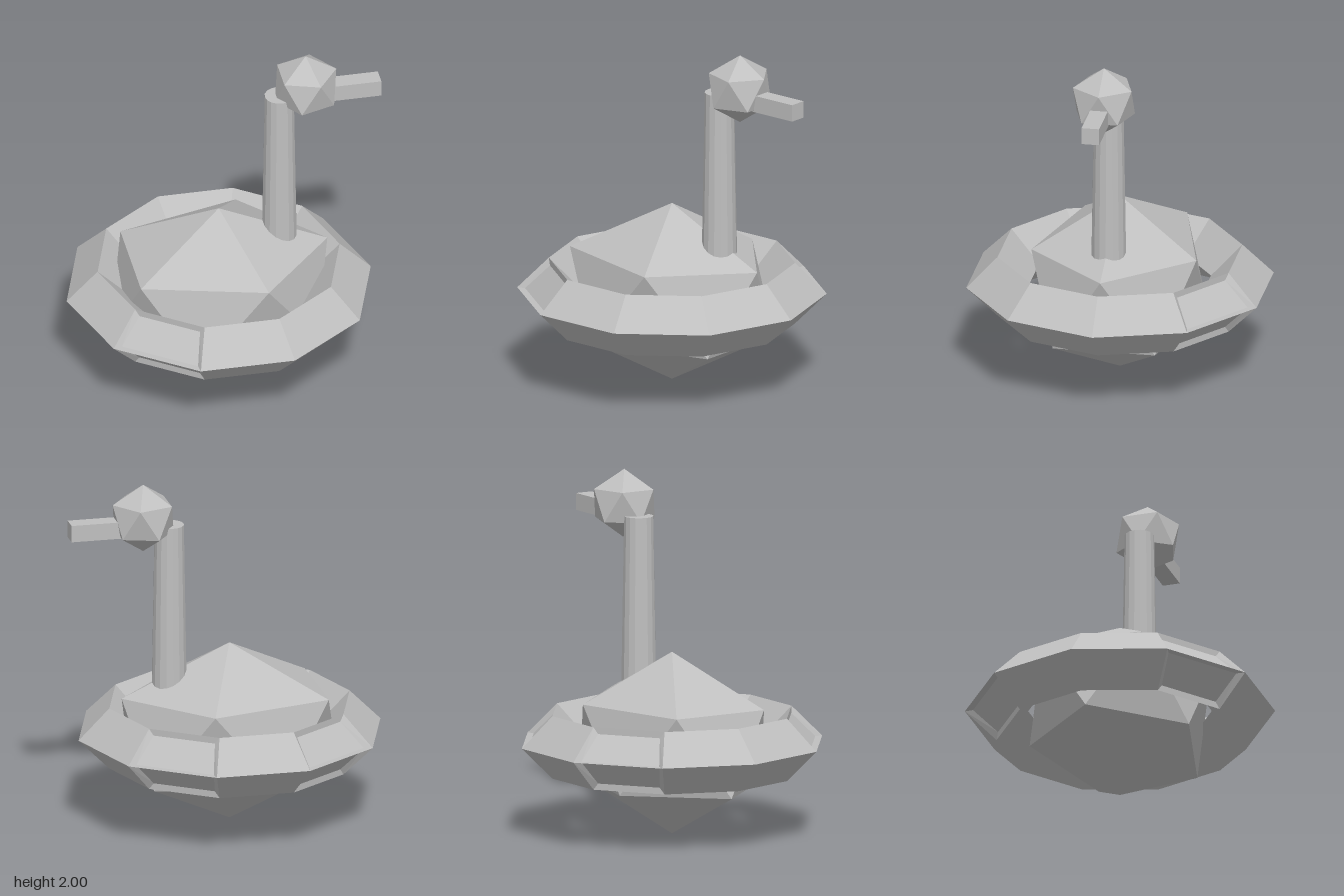
import * as THREE from 'three';
import { ConvexGeometry } from 'three/addons/geometries/ConvexGeometry.js';

const grey = new THREE.MeshStandardMaterial({ color: 0xbfbfbf, flatShading: true });
grey.name = 'plainGrey';

// Icosahedron standing on a corner, with its upper ring pointing to +x
function uprightIcosahedron(rx, ry, rz) {
  const points = [new THREE.Vector3(0, ry, 0), new THREE.Vector3(0, -ry, 0)];
  for (let i = 0; i < 10; i++) {
    const a = (i * Math.PI) / 5;
    const y = (i % 2 ? -ry : ry) / Math.sqrt(5);
    points.push(new THREE.Vector3(rx * Math.cos(a), y, rz * Math.sin(a)));
  }
  return new ConvexGeometry(points);
}

// Ten-sided ring of diamond section; chosen segments have sunken outer panels
function ringGeometry(major, tube, sunkenSegments) {
  const pos = [];
  const tri = (a, b, c) => [a, b, c].forEach((p) => pos.push(p.x, p.y, p.z));
  const quad = (a, b, c, d) => { tri(a, b, c); tri(a, c, d); };
  const corner = (i, j) => {
    const a = (i * Math.PI) / 5, s = (j * Math.PI) / 2;
    const r = major + tube * Math.cos(s);
    return new THREE.Vector3(r * Math.cos(a), tube * Math.sin(s), r * Math.sin(a));
  };
  for (let i = 0; i < 10; i++) {
    for (let j = 0; j < 4; j++) {
      const q = [corner(i, j), corner(i, j + 1), corner(i + 1, j + 1), corner(i + 1, j)];
      if (!sunkenSegments.includes(i) || j === 1 || j === 2) {
        quad(...q);
        continue;
      }
      // sloping walls down to a smaller floor
      const centre = q.reduce((s, p) => s.add(p), new THREE.Vector3()).multiplyScalar(0.25);
      const normal = q[1].clone().sub(q[0]).cross(q[2].clone().sub(q[0])).normalize();
      const floor = q.map((p) => {
        const along = q[3].clone().sub(q[0]).normalize();
        const d = p.clone().sub(centre);
        const u = d.dot(along);
        const across = d.sub(along.clone().multiplyScalar(u));
        return centre.clone().addScaledVector(along, u * 0.87)
          .addScaledVector(across, 0.78).addScaledVector(normal, -0.025);
      });
      quad(...floor);
      for (let k = 0; k < 4; k++) {
        const n = (k + 1) % 4;
        quad(q[k], q[n], floor[n], floor[k]);
      }
    }
  }
  const g = new THREE.BufferGeometry();
  g.setAttribute('position', new THREE.Float32BufferAttribute(pos, 3));
  g.computeVertexNormals();
  return g;
}

export function createModel() {
  const model = new THREE.Group();
  const add = (name, geometry, x, y, z) => {
    const mesh = new THREE.Mesh(geometry, grey);
    mesh.name = name;
    mesh.position.set(x, y, z);
    model.add(mesh);
  };

  // Faceted body inside a floating ring
  add('body', uprightIcosahedron(0.62, 0.515, 0.493), -0.028, 0.52, 0);
  add('swimRing', ringGeometry(0.69, 0.177, [3, 6, 8]), -0.028, 0.522, 0);

  // Neck, head and beak
  add('neck', new THREE.CylinderGeometry(0.083, 0.1, 1.02, 16), 0.318, 1.245, 0);
  add('head', uprightIcosahedron(0.175, 0.195, 0.175), 0.468, 1.805, 0);
  add('beak', new THREE.BoxGeometry(0.36, 0.096, 0.1), 0.71, 1.757, 0);
  return model;
}
